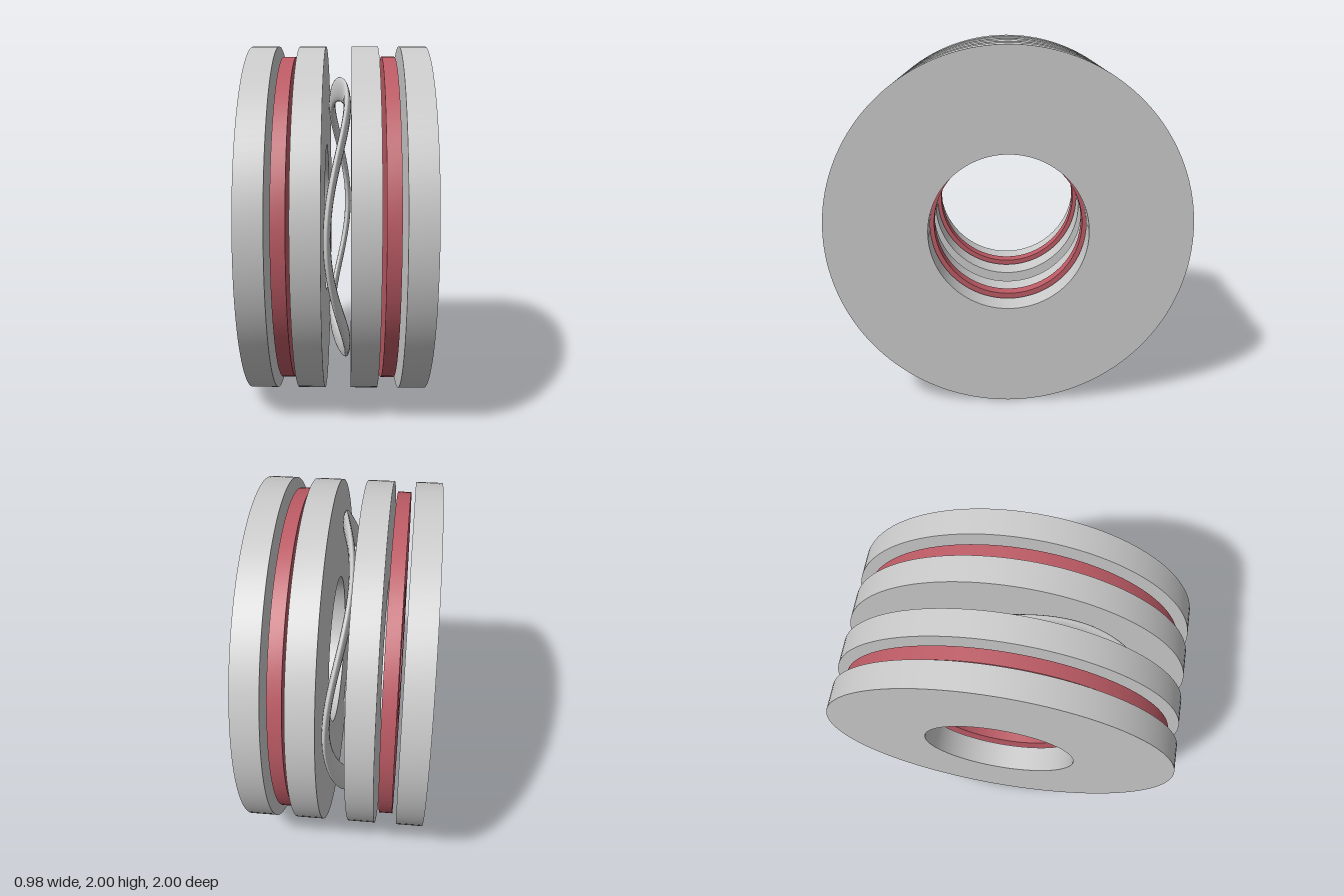
import * as THREE from 'three';
import { mergeVertices, toCreasedNormals } from 'three/addons/utils/BufferGeometryUtils.js';

const steel = new THREE.MeshStandardMaterial({ color: 0xcccccc });
const red = new THREE.MeshStandardMaterial({ color: 0xbd5b65 });

// Flat ring with a square-edged section, its axis along x
function ring(name, inner, outer, width, x, material) {
  const h = width / 2;
  const profile = [[inner, -h], [outer, -h], [outer, h], [inner, h], [inner, -h]]
    .map(([r, y]) => new THREE.Vector2(r, y));
  const geometry = toCreasedNormals(new THREE.LatheGeometry(profile, 128), 0.5);
  geometry.rotateZ(-Math.PI / 2);
  const mesh = new THREE.Mesh(geometry, material);
  mesh.name = name;
  mesh.position.x = x;
  return mesh;
}

// Flattened torus bent axially into three waves
function waveSpring() {
  const radius = 0.757, halfWidth = 0.07, halfThickness = 0.02, amplitude = 0.05;
  let geometry = new THREE.TorusGeometry(radius, halfWidth, 20, 144);
  geometry.rotateY(Math.PI / 2);
  const p = geometry.attributes.position;
  for (let i = 0; i < p.count; i++) {
    const angle = Math.atan2(p.getZ(i), p.getY(i));
    p.setX(i, p.getX(i) * halfThickness / halfWidth + amplitude * Math.sin(3 * angle));
  }
  // Weld the seam so the shading stays smooth all round
  geometry.deleteAttribute('uv');
  geometry.deleteAttribute('normal');
  geometry = mergeVertices(geometry, 1e-5);
  geometry.computeVertexNormals();
  const mesh = new THREE.Mesh(geometry, steel);
  mesh.name = 'waveSpring';
  return mesh;
}

export function createModel() {
  const stack = new THREE.Group();
  stack.name = 'discStack';
  stack.position.y = 1;

  // Each side: inner plate, friction disc, outer plate
  for (const [side, s] of [['left', 1], ['right', -1]]) {
    stack.add(
      ring(side + 'InnerPlate', 0.435, 1, 0.148, s * 0.146, steel),
      ring(side + 'FrictionDisc', 0.415, 0.942, 0.074, s * 0.28, red),
      ring(side + 'OuterPlate', 0.435, 1, 0.148, s * 0.415, steel),
    );
  }
  stack.add(waveSpring());

  const model = new THREE.Group();
  model.name = 'clutchPack';
  model.add(stack);
  return model;
}
